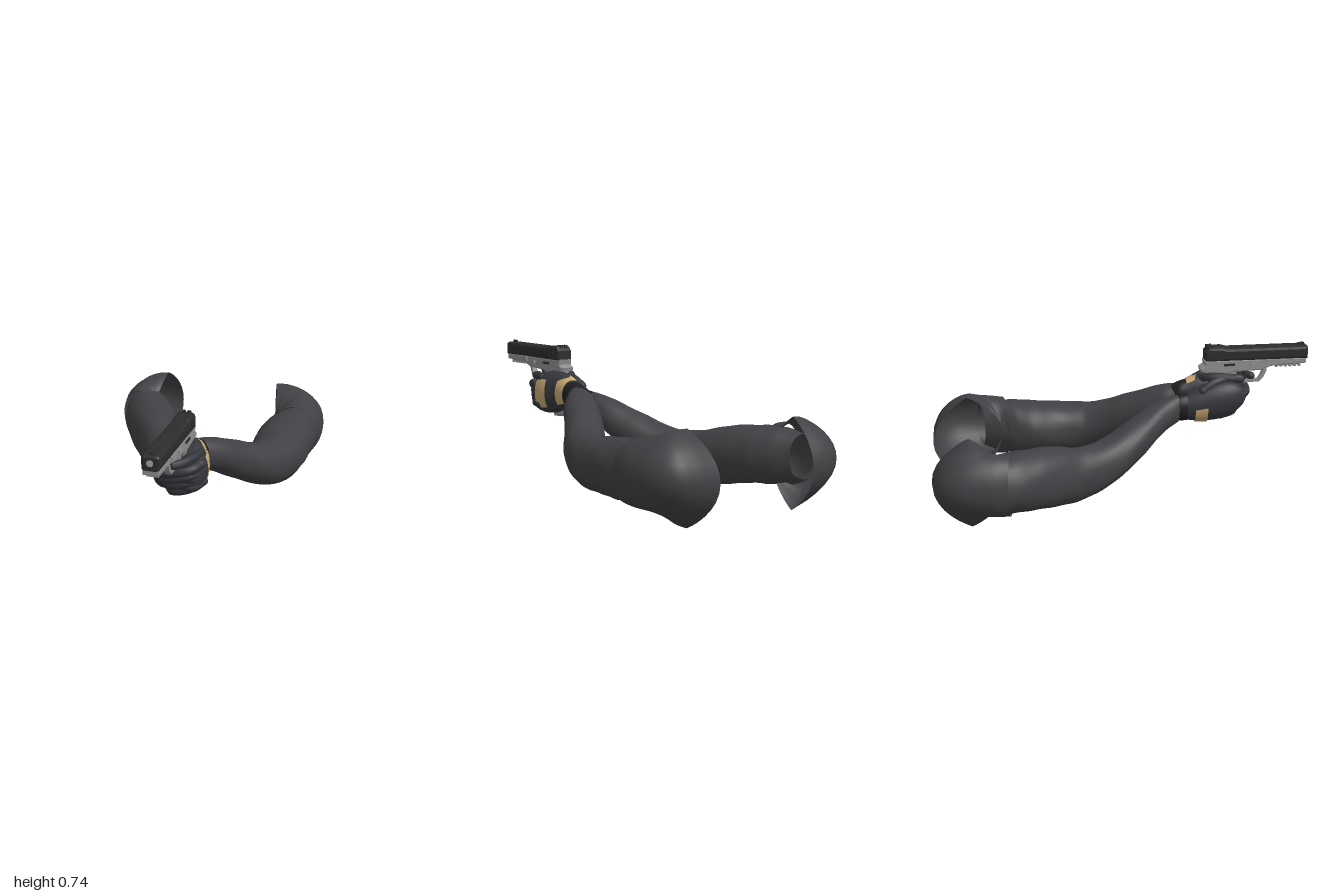
import * as THREE from 'three';

const mat = (color) => new THREE.MeshStandardMaterial({ color, side: THREE.DoubleSide });
const CLOTH = mat(0x414145), GLOVE = mat(0x35363b), BAND = mat(0x1e1e20), TAN = mat(0xc4a672);
const SLIDE = mat(0x2c2e2d), FRAME = mat(0x8f8f8f), STEEL = mat(0xa8a8a8);
const GX = 0.145; // gun centre line

function add(parent, name, geometry, material) {
  const mesh = new THREE.Mesh(geometry, material);
  mesh.name = name;
  parent.add(mesh);
  return mesh;
}

// Smooth skin over upright rings [innerX, innerZ, outerX, outerZ, lowY, highY].
// Angle 0 is the outer side, PI/2 the top; grow swells the rings, tip points the last ring.
function loft(rings, { from = 0, to = Math.PI * 2, grow = 0, wrinkle = 0, tip = 0.9, steps = 5 } = {}) {
  const curves = [0, 2, 4].map((k) => new THREE.CatmullRomCurve3(
    rings.map((r) => new THREE.Vector3(r[k], r[k + 1], 0)), false, 'catmullrom', 0.5));
  const full = to - from > 6.28, seg = 32, cols = full ? seg : seg + 1;
  const rows = (rings.length - 1) * steps, pos = [], index = [];
  for (let i = 0; i <= rows; i++) {
    const [a, b, h] = curves.map((c) => c.getPoint(i / rows));
    const mid = a.clone().add(b).multiplyScalar(0.5), half = b.clone().sub(a).multiplyScalar(0.5);
    const hl = half.length(), g = hl > 1e-4 ? 1 + grow / hl : 1;
    const hy = (h.y - h.x) / 2 + (hl > 1e-4 ? grow : 0);
    const power = THREE.MathUtils.lerp(0.9, tip, i / rows);
    for (let j = 0; j < cols; j++) {
      const t = from + (to - from) * j / seg;
      const w = 1 + wrinkle * Math.sin(i * 0.9 + 2 * t) * Math.cos(3 * t - i * 0.35);
      const c = Math.sign(Math.cos(t)) * Math.abs(Math.cos(t)) ** power * g * w;
      pos.push(mid.x + half.x * c, (h.x + h.y) / 2 + hy * Math.sin(t) * w, mid.y + half.y * c);
    }
  }
  for (let i = 0; i < rows; i++) for (let j = 0; j < seg; j++) {
    const k = (j + 1) % cols, a = i * cols + j, b = i * cols + k;
    index.push(a, b, a + cols, b, b + cols, a + cols);
  }
  const geo = new THREE.BufferGeometry();
  geo.setAttribute('position', new THREE.Float32BufferAttribute(pos, 3));
  geo.setIndex(index);
  geo.computeVertexNormals();
  return geo;
}

// Side profile of [z, y] points, extruded across x
function side(points, width, bevel = 0, holes = []) {
  const toVectors = (p) => p.map(([z, y]) => new THREE.Vector2(z, y));
  const shape = new THREE.Shape(toVectors(points));
  holes.forEach((h) => shape.holes.push(new THREE.Path(toVectors(h))));
  const depth = width - 2 * bevel;
  const geo = new THREE.ExtrudeGeometry(shape, {
    depth, bevelEnabled: bevel > 0, bevelSize: bevel, bevelThickness: bevel, bevelOffset: -bevel, bevelSegments: 2,
  });
  return geo.rotateY(-Math.PI / 2).translate(GX + depth / 2, 0, 0);
}

function finger(parent, name, points, radius) {
  const g = new THREE.Group();
  g.name = name;
  const v = points.map((p) => new THREE.Vector3(...p));
  add(g, 'fingerTube', new THREE.TubeGeometry(new THREE.CatmullRomCurve3(v), 16, radius, 10), GLOVE);
  for (const p of [v[0], v[v.length - 1]]) {
    add(g, 'fingerEnd', new THREE.SphereGeometry(radius, 10, 8), GLOVE).position.copy(p);
  }
  parent.add(g);
}

function box(parent, name, w, h, d, x, y, z, material) {
  return add(parent, name, new THREE.BoxGeometry(w, h, d).translate(x, y, z), material);
}

function buildPistol() {
  const gun = new THREE.Group();
  gun.name = 'pistol';
  add(gun, 'slide', side([[0.44, 0.66], [0.998, 0.66], [0.998, 0.722], [0.988, 0.73],
    [0.56, 0.73], [0.53, 0.738], [0.46, 0.738], [0.44, 0.715]], 0.09, 0.016), SLIDE);
  add(gun, 'frame', side([[0.99, 0.668], [0.99, 0.635], [0.8, 0.625], [0.74, 0.605], [0.6, 0.6],
    [0.56, 0.59], [0.42, 0.605], [0.415, 0.625], [0.44, 0.64], [0.435, 0.668]], 0.08, 0.008), FRAME);
  add(gun, 'grip', side([[0.59, 0.61], [0.44, 0.61], [0.425, 0.53], [0.4, 0.365], [0.51, 0.355], [0.55, 0.48]], 0.066, 0.012), FRAME);
  add(gun, 'triggerGuard', side([[0.78, 0.61], [0.78, 0.595], [0.765, 0.56], [0.74, 0.535], [0.6, 0.53], [0.58, 0.61]],
    0.03, 0.003, [[[0.765, 0.605], [0.75, 0.565], [0.735, 0.547], [0.62, 0.545], [0.61, 0.605]]]), FRAME);
  add(gun, 'trigger', side([[0.68, 0.605], [0.665, 0.58], [0.672, 0.55], [0.66, 0.552], [0.65, 0.58], [0.655, 0.605]], 0.016), SLIDE);
  // Accessory rail under the muzzle
  for (let i = 0; i < 6; i++) box(gun, 'railTooth', 0.056, 0.014, 0.013, GX, 0.624, 0.83 + i * 0.025, FRAME);
  // Muzzle
  const tube = (r, d, z) => new THREE.CylinderGeometry(r, r, d, 20).rotateX(Math.PI / 2).translate(GX, 0.697, z);
  add(gun, 'muzzleRing', tube(0.027, 0.01, 0.994), SLIDE);
  add(gun, 'barrel', tube(0.016, 0.012, 0.995), STEEL);
  // Sights and controls
  box(gun, 'frontSight', 0.012, 0.02, 0.03, GX, 0.731, 0.965, SLIDE);
  for (const s of [-1, 1]) {
    box(gun, 'rearSight', 0.018, 0.018, 0.03, GX + s * 0.014, 0.735, 0.465, SLIDE);
    for (let i = 0; i < 5; i++) box(gun, 'slideSerration', 0.005, 0.04, 0.006, GX + s * 0.0445, 0.692, 0.47 + i * 0.014, SLIDE);
    box(gun, 'slideCatch', 0.008, 0.012, 0.06, GX + s * 0.041, 0.642, 0.57, SLIDE);
    box(gun, 'safetyLever', 0.014, 0.018, 0.03, GX + s * 0.041, 0.638, 0.7, FRAME);
    box(gun, 'frameLug', 0.012, 0.03, 0.06, GX + s * 0.042, 0.65, 0.8, FRAME);
  }
  return gun;
}

function buildArm(name, sleeve, shoulder, cuff, hand) {
  const arm = new THREE.Group();
  arm.name = name;
  add(arm, 'sleeve', loft(sleeve, { wrinkle: 0.018, steps: 6 }), CLOTH);
  add(arm, 'shoulderCap', loft(shoulder, { tip: 1.8, steps: 6 }), CLOTH);
  add(arm, 'wristBand', loft(cuff), BAND);
  add(arm, 'gloveBody', loft(hand), GLOVE);
  return arm;
}

export function createModel() {
  const model = new THREE.Group();
  model.name = 'armsHoldingPistol';
  model.add(buildPistol());

  // Arm on the +x side; the shoulder cap fans round to an opening facing inward
  const left = buildArm('leftArm', [
    [0.10, 0.28, 0.22, 0.31, 0.38, 0.535], [0.11, 0.18, 0.29, 0.23, 0.335, 0.515], [0.18, 0.02, 0.38, 0.08, 0.235, 0.45],
    [0.26, -0.13, 0.48, -0.07, 0.15, 0.385], [0.28, -0.24, 0.545, -0.24, 0.11, 0.37], [0.265, -0.4, 0.565, -0.4, 0.10, 0.38],
    [0.275, -0.52, 0.572, -0.55, 0.10, 0.39], [0.31, -0.61, 0.57, -0.66, 0.11, 0.385], [0.36, -0.72, 0.54, -0.76, 0.14, 0.36]],
  [[0.30, -0.59, 0.578, -0.63, 0.095, 0.405], [0.315, -0.61, 0.585, -0.74, 0.09, 0.415], [0.325, -0.625, 0.555, -0.88, 0.085, 0.43],
    [0.325, -0.63, 0.48, -0.97, 0.06, 0.45], [0.328, -0.635, 0.38, -0.998, 0.025, 0.46], [0.34, -0.63, 0.25, -1, 0, 0.46]],
  [[0.115, 0.26, 0.205, 0.28, 0.40, 0.53], [0.095, 0.3, 0.215, 0.325, 0.405, 0.55], [0.095, 0.345, 0.215, 0.36, 0.41, 0.56]],
  [[0.10, 0.33, 0.21, 0.345, 0.42, 0.555], [0.10, 0.42, 0.23, 0.43, 0.39, 0.6], [0.115, 0.5, 0.268, 0.5, 0.375, 0.605],
    [0.14, 0.58, 0.272, 0.57, 0.385, 0.575], [0.18, 0.63, 0.25, 0.62, 0.42, 0.54], [0.21, 0.645, 0.21, 0.645, 0.48, 0.48]]);
  add(left, 'wristPatch', loft([[0.10, 0.34, 0.213, 0.355, 0.417, 0.558], [0.10, 0.365, 0.217, 0.385, 0.41, 0.57],
    [0.10, 0.385, 0.222, 0.415, 0.4, 0.582]], { grow: 0.006, from: -0.7, to: 2.3 }), TAN);
  add(left, 'knucklePatch', loft([[0.11, 0.465, 0.258, 0.465, 0.38, 0.605], [0.115, 0.5, 0.268, 0.5, 0.375, 0.605],
    [0.125, 0.54, 0.273, 0.54, 0.378, 0.595]], { grow: 0.005, from: -0.75, to: 0.65 }), TAN);
  // Fingers curling round the front of the grip
  for (let i = 0; i < 3; i++) {
    const y = 0.525 - i * 0.045;
    finger(left, 'gripFinger', [[0.25, y, 0.56], [0.22, y - 0.01, 0.63 - i * 0.01], [0.15, y - 0.01, 0.63 - i * 0.015], [0.09, y, 0.57]], 0.025);
  }
  finger(left, 'indexFinger', [[0.235, 0.57, 0.53], [0.22, 0.572, 0.61], [0.19, 0.567, 0.67], [0.155, 0.563, 0.7]], 0.021);
  finger(left, 'thumb', [[0.14, 0.57, 0.42], [0.095, 0.58, 0.46], [0.085, 0.58, 0.53], [0.09, 0.57, 0.59]], 0.023);
  model.add(left);

  // Arm on the -x side
  const right = buildArm('rightArm', [
    [0.11, 0.28, 0.015, 0.29, 0.355, 0.5], [0.12, 0.16, -0.05, 0.2, 0.3, 0.475], [0.06, 0, -0.16, 0.06, 0.19, 0.405],
    [-0.03, -0.16, -0.25, -0.09, 0.1, 0.34], [-0.11, -0.27, -0.335, -0.25, 0.065, 0.335], [-0.16, -0.4, -0.44, -0.4, 0.07, 0.37],
    [-0.21, -0.54, -0.53, -0.55, 0.09, 0.385], [-0.28, -0.67, -0.565, -0.67, 0.1, 0.385], [-0.37, -0.78, -0.53, -0.78, 0.14, 0.36]],
  [[-0.345, -0.6, -0.572, -0.64, 0.095, 0.402], [-0.36, -0.61, -0.588, -0.73, 0.1, 0.41], [-0.375, -0.615, -0.575, -0.86, 0.1, 0.42],
    [-0.38, -0.62, -0.52, -0.95, 0.07, 0.44], [-0.38, -0.625, -0.43, -0.99, 0.025, 0.455], [-0.39, -0.63, -0.32, -1, 0, 0.46]],
  [[0.105, 0.25, 0.02, 0.26, 0.36, 0.49], [0.115, 0.3, 0.015, 0.3, 0.36, 0.5], [0.12, 0.345, 0.018, 0.335, 0.36, 0.505]],
  [[0.125, 0.32, 0.025, 0.31, 0.365, 0.49], [0.17, 0.4, 0.01, 0.39, 0.35, 0.53], [0.16, 0.5, 0.003, 0.49, 0.355, 0.56],
    [0.13, 0.58, 0.012, 0.57, 0.385, 0.56], [0.1, 0.64, 0.035, 0.63, 0.43, 0.53], [0.07, 0.66, 0.07, 0.66, 0.48, 0.48]]);
  add(right, 'palmPatch', loft([[0.165, 0.385, 0.012, 0.375, 0.352, 0.525], [0.17, 0.42, 0.008, 0.41, 0.35, 0.54],
    [0.168, 0.45, 0.005, 0.44, 0.351, 0.55]], { grow: 0.007, from: -2.6, to: -0.1 }), TAN);
  // Fingers slanting up across the front of both hands
  for (let i = 0; i < 4; i++) {
    const y = 0.505 - i * 0.036, z = 0.655 - i * 0.018, x = i * 0.014;
    finger(right, 'supportFinger', [[0.04 + x, y - 0.02, z - 0.08], [0.08 + x, y - 0.01, z - 0.005],
      [0.15 + x * 0.5, y + 0.005, z + 0.008], [0.22, y + 0.02, z - 0.01], [0.25, y + 0.03, z - 0.07]], 0.024);
  }
  finger(right, 'thumb', [[0.05, 0.52, 0.42], [0.065, 0.555, 0.48], [0.09, 0.57, 0.56], [0.1, 0.565, 0.63]], 0.024);
  // Loose corner of cloth at the open shoulder
  const flap = new THREE.BufferGeometry().setFromPoints([
    new THREE.Vector3(-0.38, 0.12, -0.8), new THREE.Vector3(-0.2, 0.18, -0.86), new THREE.Vector3(-0.36, 0.17, -0.93)]);
  flap.computeVertexNormals();
  add(right, 'clothFlap', flap, CLOTH);
  model.add(right);
  return model;
}
